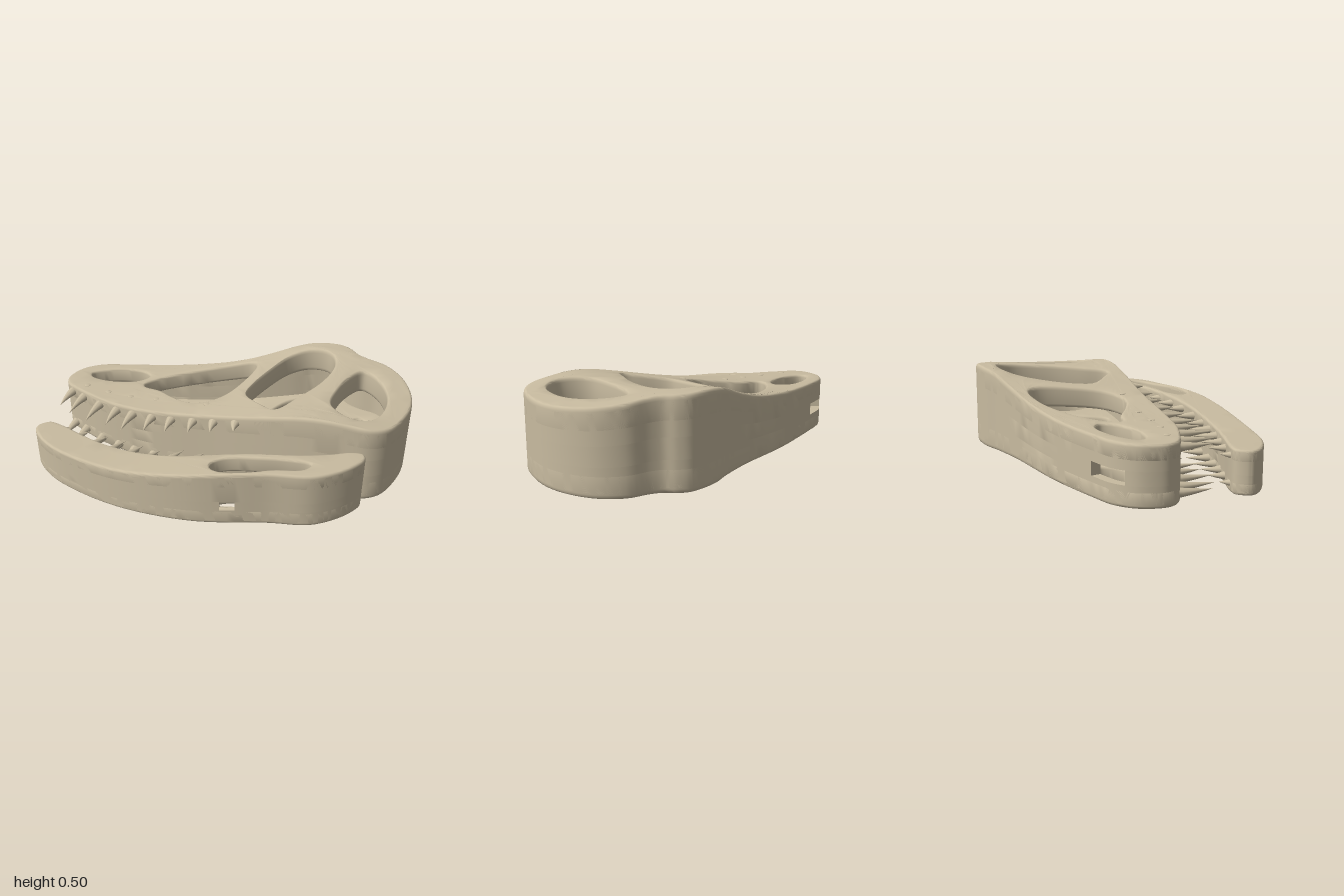
import * as THREE from 'three';
import { mergeVertices, toCreasedNormals } from 'three/addons/utils/BufferGeometryUtils.js';

const bone = new THREE.MeshStandardMaterial({ color: 0xc8bba0 });
bone.name = 'bone';

// Outlines as [x, z]
const SKULL = [[-1, 0], [-.98, -.1], [-.9, -.19], [-.75, -.255], [-.5, -.345], [-.25, -.43], [0, -.515], [.2, -.6],
  [.32, -.66], [.48, -.69], [.55, -.665], [.6, -.625], [.66, -.605], [.77, -.59], [.88, -.52], [.96, -.4], [1, -.25],
  [.99, -.08], [.95, .05], [.88, .115], [.75, .145], [.55, .175], [.3, .195], [0, .205], [-.2, .215], [-.45, .215],
  [-.65, .195], [-.85, .14], [-.95, .1], [-.99, .05]];
const NOSTRIL = [[-.89, -.07], [-.83, -.13], [-.7, -.19], [-.6, -.2], [-.545, -.165], [-.57, -.1], [-.65, -.05],
  [-.78, -.02], [-.87, -.035]];
const CHEEK = [[-.52, -.07], [-.46, -.17], [-.3, -.3], [-.12, -.4], [.02, -.435], [.06, -.38], [.055, -.2],
  [.01, -.03], [-.07, .05], [-.15, .07], [-.28, .03], [-.4, -.025], [-.5, -.04]];
const ORBIT = [[.13, -.15], [.165, -.32], [.23, -.48], [.33, -.56], [.45, -.56], [.51, -.46], [.5, -.25],
  [.43, -.05], [.36, .09], [.27, .05], [.14, -.05]];
const TEMPLE = [[.61, -.2], [.63, -.35], [.68, -.45], [.76, -.42], [.85, -.3], [.88, -.15], [.85, 0], [.77, .05],
  [.68, .02], [.62, -.05]];
const JAW = [[-.91, .46], [-.87, .405], [-.8, .405], [-.65, .44], [-.45, .48], [-.2, .495], [0, .475], [.2, .415],
  [.35, .36], [.55, .29], [.7, .215], [.8, .15], [.86, .14], [.88, .18], [.84, .28], [.76, .38], [.68, .44], [.5, .5],
  [.35, .565], [.15, .635], [-.05, .67], [-.25, .68], [-.5, .66], [-.7, .62], [-.83, .56], [-.9, .5]];
const JAW_WINDOW = [[.19, .5], [.24, .445], [.4, .39], [.55, .345], [.65, .335], [.63, .39], [.5, .45], [.35, .54],
  [.25, .56], [.2, .54]];

// Height of the upper and lower faces along x
const lerpTable = (table, x) => {
  let i = 1;
  while (i < table.length - 1 && x > table[i][0]) i++;
  const [a, b] = [table[i - 1], table[i]];
  const k = THREE.MathUtils.clamp((x - a[0]) / (b[0] - a[0]), 0, 1);
  return a[1] + (b[1] - a[1]) * k;
};
const smoothTable = (table, x) => [-.1, -.05, 0, .05, .1].reduce((s, d) => s + lerpTable(table, x + d) / 5, 0);
const ROOF = [[-1, .3], [-.5, .315], [-.25, .34], [-.05, .38], [.15, .455], [.3, .505], [.55, .505], [.8, .48], [1, .46]];
const MOUTH = [[-1, .3], [-.5, .31], [-.25, .335], [0, .375], [.2, .415], [.4, .46], [.6, .5], [.8, .485], [1, .46]];
const JAW_TOP = [[-.91, .225], [-.5, .23], [-.25, .25], [0, .29], [.2, .325], [.4, .34], [.88, .345]];
const BASE = [[-1, .01], [-.4, 0], [0, .02], [.4, .035], [1, .045]];
const bottom = (x) => smoothTable(BASE, x);
const skullTop = (x, z) => {
  const k = THREE.MathUtils.clamp((.2 - z) / .8, 0, 1);
  const dip = .06 * k * (1 - k) * THREE.MathUtils.smoothstep(x, 0, .5);
  return THREE.MathUtils.lerp(smoothTable(MOUTH, x), smoothTable(ROOF, x), k) - dip;
};
const jawTop = (x) => smoothTable(JAW_TOP, x);

// Closed smooth loop, always anticlockwise
function smoothLoop(pts, n) {
  const loop = new THREE.CatmullRomCurve3(pts.map(([x, z]) => new THREE.Vector3(x, -z, 0)), true)
    .getPoints(n).slice(0, -1).map((p) => new THREE.Vector2(p.x, p.y));
  return THREE.ShapeUtils.isClockWise(loop) ? loop.reverse() : loop;
}

// Loop moved inwards by a distance
const inset = (loop, d) => loop.map((p, i) => {
  const n = loop.length;
  const t = loop[(i + 1) % n].clone().sub(loop[(i + n - 1) % n]).normalize();
  return new THREE.Vector2(p.x - t.y * d, p.y + t.x * d);
});

// Halve the longest edges of triangles so that faces can follow the curved heights
function subdivide(geo, max) {
  const p = geo.attributes.position, out = [], stack = [];
  const vertex = (i) => new THREE.Vector3().fromBufferAttribute(p, i);
  for (let i = 0; i < p.count; i += 3) stack.push([vertex(i), vertex(i + 1), vertex(i + 2)]);
  while (stack.length) {
    const t = stack.pop();
    const len = t.map((a, i) => Math.hypot(a.x - t[(i + 1) % 3].x, a.z - t[(i + 1) % 3].z));
    const i = len.indexOf(Math.max(...len));
    if (len[i] <= max) {
      t.forEach((v) => out.push(v.x, v.y, v.z));
      continue;
    }
    const [a, b, c] = [t[i], t[(i + 1) % 3], t[(i + 2) % 3]];
    const m = a.clone().add(b).multiplyScalar(.5);
    stack.push([a, m, c], [m, b, c]);
  }
  return new THREE.BufferGeometry().setAttribute('position', new THREE.Float32BufferAttribute(out, 3));
}

// Slab filling the fraction t0..t1 of the height between the lower and upper faces
function slab(name, loop, holes, t0, t1, top, bevel) {
  const shape = new THREE.Shape(loop);
  shape.holes = holes.map((h) => new THREE.Path(h));
  const bt = bevel ? .05 : 0;
  let geo = new THREE.ExtrudeGeometry(shape, {
    depth: t1 - t0 - 2 * bt, bevelEnabled: bevel, bevelThickness: bt, bevelSize: .012, bevelOffset: -.012,
    bevelSegments: 3,
  });
  geo.translate(0, 0, t0 + bt);
  geo.rotateX(-Math.PI / 2);
  geo = subdivide(geo, .09);
  const p = geo.attributes.position;
  for (let i = 0; i < p.count; i++) {
    const x = p.getX(i), b = bottom(x);
    p.setY(i, b + (top(x, p.getZ(i)) - b) * p.getY(i));
  }
  geo = toCreasedNormals(mergeVertices(geo, 1e-5), .7);
  const mesh = new THREE.Mesh(geo, bone);
  mesh.name = name;
  return mesh;
}

// Two pierced side plates joined by a hollow rim, which has one small opening
function hollowBone(name, outline, windows, top, wall, inGap, gapLow, gapHigh) {
  const g = new THREE.Group();
  g.name = name;
  const loop = smoothLoop(outline, 140);
  const inner = inset(loop, wall);
  const holes = windows.map((w) => smoothLoop(w, 56));
  g.add(slab(name + 'LeftPlate', loop, holes, .7, 1, top, true));
  g.add(slab(name + 'RightPlate', loop, holes, 0, .3, top, true));
  g.add(slab(name + 'LowerRim', loop, [inner], .06, gapLow, top, false));
  g.add(slab(name + 'UpperRim', loop, [inner], gapHigh, .94, top, false));
  const n = loop.length;
  const start = loop.findIndex((p, i) => !inGap(p.x, -p.y) && inGap(loop[(i + n - 1) % n].x, -loop[(i + n - 1) % n].y));
  const order = loop.map((_, i) => (start + i) % n).filter((i) => !inGap(loop[i].x, -loop[i].y));
  const strip = [...order.map((i) => loop[i]), ...order.map((i) => inner[i]).reverse()];
  g.add(slab(name + 'MiddleRim', strip, [], gapLow, gapHigh, top, false));
  return g;
}

// Curved tapering tooth from base to tip
function tooth(name, x, z, tipX, tipZ, y) {
  const geo = new THREE.ConeGeometry(.032, 1, 12, 6);
  geo.translate(0, .5, 0);
  const p = geo.attributes.position;
  const side = Math.sign(z - tipZ);
  for (let i = 0; i < p.count; i++) {
    const t = p.getY(i);
    p.setXYZ(i, x + (tipX - x) * t * t + p.getX(i) * side, y + p.getZ(i) * .8, z + (tipZ - z) * t);
  }
  geo.computeVertexNormals();
  const m = new THREE.Mesh(geo, bone);
  m.name = name;
  return m;
}

export function createModel() {
  const model = new THREE.Group();
  model.name = 'dinosaurSkull';
  const skull = hollowBone('skull', SKULL, [NOSTRIL, CHEEK, ORBIT, TEMPLE], skullTop, .05,
    (x, z) => x > -.93 && x < -.77 && z < -.1, .35, .58);
  const jaw = hollowBone('lowerJaw', JAW, [JAW_WINDOW], jawTop, .03,
    (x, z) => x > .28 && x < .32 && z > .5, .28, .45);
  model.add(skull, jaw);

  // Upper teeth: [tip x, tip z], one row on each side
  const mouthEdge = [[-.95, .1], [-.85, .14], [-.65, .195], [-.45, .215], [.3, .195]];
  [[-.88, .29], [-.78, .34], [-.645, .38], [-.52, .37], [-.41, .39], [-.285, .36], [-.165, .34], [-.035, .32],
    [.085, .3], [.21, .28]].forEach(([tx, tz]) => {
    const x = tx - .03, z = lerpTable(mouthEdge, x) - .02;
    skull.add(tooth('upperLeftTooth', x, z, tx, tz, skullTop(x, z) - .038));
    skull.add(tooth('upperRightTooth', x, z, tx, tz, bottom(x) + .042));
  });

  // Lower teeth
  const jawEdge = [[-.87, .405], [-.65, .44], [-.45, .48], [-.2, .495], [0, .475], [.2, .415], [.35, .36]];
  [[-.775, .36], [-.64, .35], [-.52, .36], [-.4, .36], [-.28, .37], [-.165, .385], [-.04, .36], [.085, .36],
    [.19, .355], [.31, .34]].forEach(([tx, tz]) => {
    const x = tx - .035, z = lerpTable(jawEdge, x) + .02;
    jaw.add(tooth('lowerLeftTooth', x, z, tx, tz, jawTop(x) - .042));
    jaw.add(tooth('lowerRightTooth', x, z, tx, tz, bottom(x) + .042));
  });

  // Row of little bumps above the upper teeth
  [[-.83, .08], [-.67, .1], [-.52, .1], [-.36, .08], [-.04, .08]].forEach(([x, z]) => {
    const bump = new THREE.Mesh(new THREE.SphereGeometry(.018, 12, 8), bone);
    bump.name = 'cheekBump';
    bump.scale.y = .2;
    bump.position.set(x, skullTop(x, z), z);
    skull.add(bump);
  });
  return model;
}
